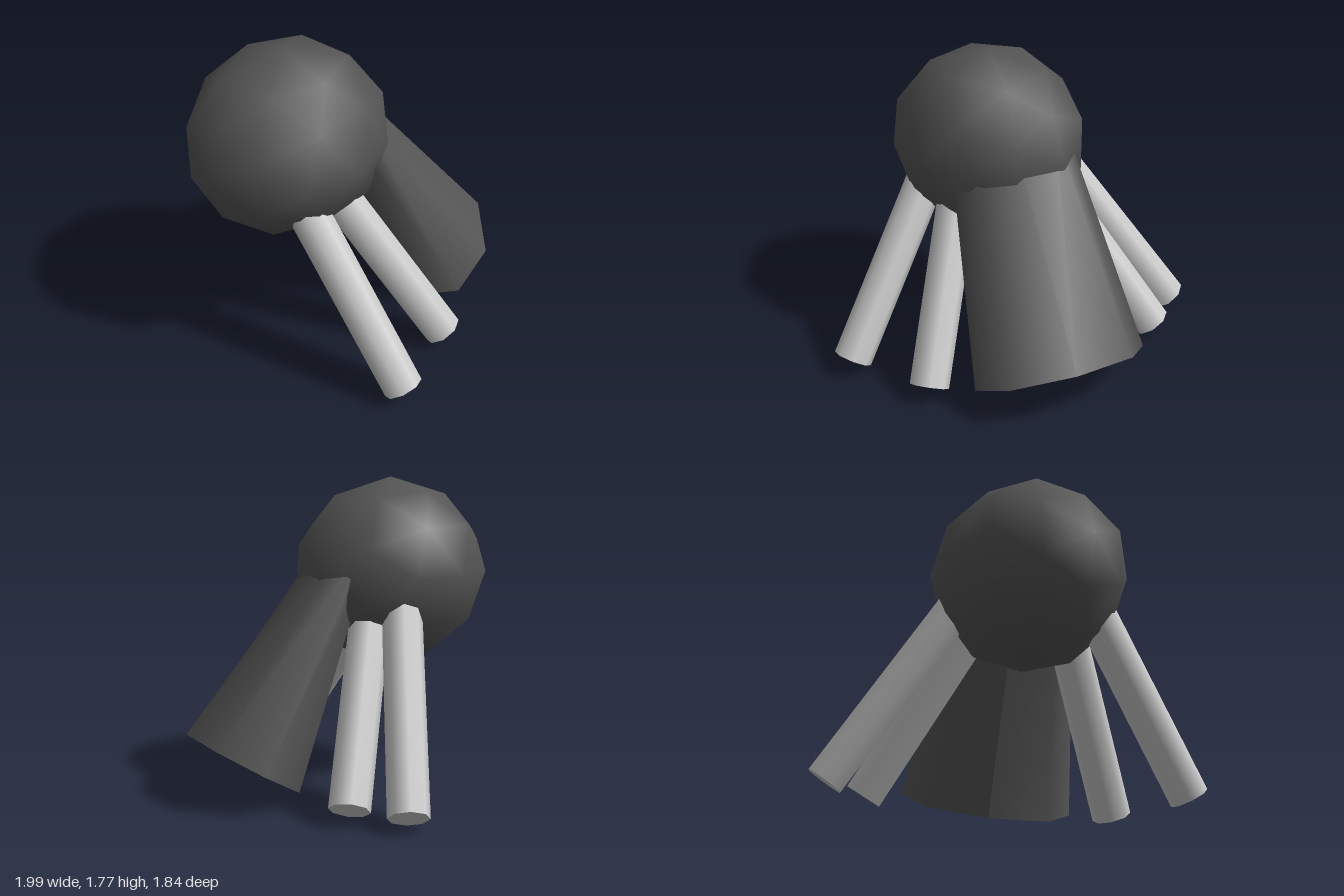
import * as THREE from 'three';

const V = (x, y, z) => new THREE.Vector3(x, y, z);

export function createModel() {
  const model = new THREE.Group();
  const dark = new THREE.MeshStandardMaterial({ color: 0x555555 });
  const grey = new THREE.MeshStandardMaterial({ color: 0xcccccc });

  const add = (name, geometry, material) => {
    const mesh = new THREE.Mesh(geometry, material);
    mesh.name = name;
    model.add(mesh);
    return mesh;
  };

  // Faceted round head, slightly longer front to back
  const head = add('head', new THREE.IcosahedronGeometry(1, 1), dark);
  head.scale.set(0.54, 0.54, 0.595);
  head.position.set(-0.105, 1.235, 0.32);

  // Body: slanted oval frustum, tapering more on its narrow axis
  const wide = V(0.438, -0.045, 0.247);
  const narrow = V(-0.17, -0.182, 0.268);
  const base = V(0.23, 0.185, -0.56);
  const top = V(0.023, 1.305, 0.022);
  const bodyGeometry = new THREE.CylinderGeometry(1, 1, 1, 8);
  const pos = bodyGeometry.attributes.position;
  for (let i = 0; i < pos.count; i++) {
    const t = pos.getY(i) + 0.5;
    const p = base.clone().lerp(top, t)
      .addScaledVector(wide, pos.getX(i) * (1 - 0.32 * t))
      .addScaledVector(narrow, pos.getZ(i) * (1 - 0.65 * t));
    pos.setXYZ(i, p.x, p.y, p.z);
  }
  bodyGeometry.computeVertexNormals();
  add('body', bodyGeometry, dark);

  // Four straight legs: foot centre and direction up into the head
  const legs = [
    ['frontLeftLeg', V(0.9, 0.085, 0.47), V(-0.665, 0.9, 0.045), 1.1],
    ['backLeftLeg', V(0.765, 0.08, -0.04), V(-0.56, 0.9, 0.31), 1.1],
    ['frontRightLeg', V(-0.9, 0.075, -0.46), V(0.43, 0.87, 0.46), 1.2],
    ['backRightLeg', V(-0.595, 0.08, -0.575), V(0.34, 0.9, 0.54), 1.1],
  ];
  for (const [name, foot, dir, t] of legs) {
    const length = dir.length() * t;
    const leg = add(name, new THREE.CylinderGeometry(0.113, 0.113, length, 8), grey);
    leg.position.copy(foot).addScaledVector(dir, t / 2);
    leg.quaternion.setFromUnitVectors(V(0, 1, 0), dir.clone().normalize());
  }

  return model;
}
